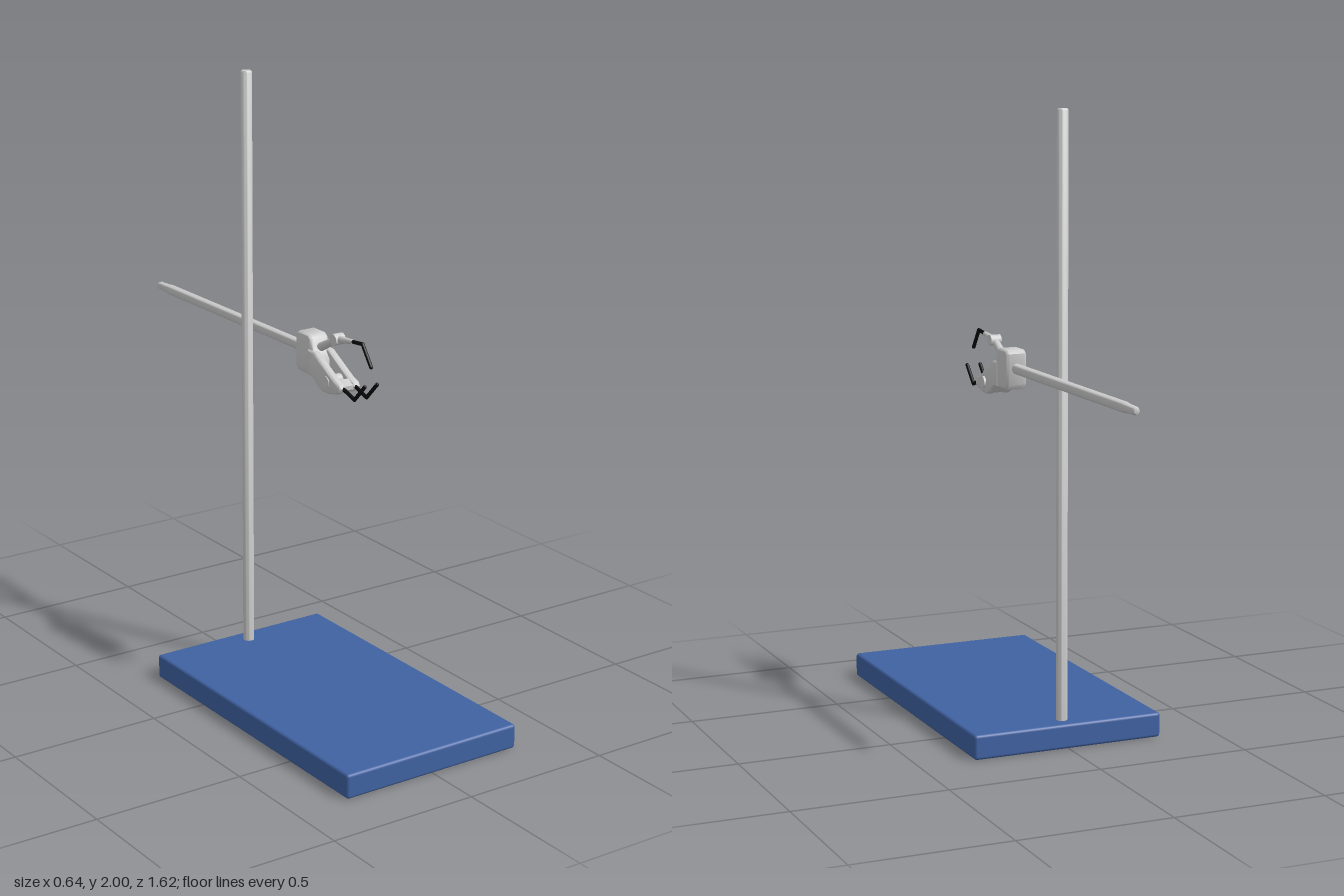
import * as THREE from 'three';
import { RoundedBoxGeometry } from 'three/addons/geometries/RoundedBoxGeometry.js';
import { toCreasedNormals } from 'three/addons/utils/BufferGeometryUtils.js';

const CLAMP_X = 0.035;
const V = (x, y, z) => new THREE.Vector3(x, y, z);

export function createModel() {
  const model = new THREE.Group();
  model.name = 'labStand';
  const grey = new THREE.MeshStandardMaterial({ color: 0xcccccc });
  const blue = new THREE.MeshStandardMaterial({ color: 0x4062a2 });
  const black = new THREE.MeshStandardMaterial({ color: 0x080808 });

  const add = (name, geometry, material = grey, parent = model) => {
    const mesh = new THREE.Mesh(geometry, material);
    mesh.name = name;
    parent.add(mesh);
    return mesh;
  };

  // Lathe of [radius, height] points
  const lathe = (points, segments = 32) => toCreasedNormals(
    new THREE.LatheGeometry(points.map(([r, y]) => new THREE.Vector2(r, y)), segments), 0.7);

  // Tapered round bar between two points
  const bar = (a, b, ra, rb = ra) => {
    const dir = b.clone().sub(a);
    const g = new THREE.CylinderGeometry(rb, ra, dir.length(), 16);
    g.applyQuaternion(new THREE.Quaternion().setFromUnitVectors(V(0, 1, 0), dir.normalize()));
    const mid = a.clone().add(b).multiplyScalar(0.5);
    return g.translate(mid.x, mid.y, mid.z);
  };

  // Side profile of [z, y] points, given a width along x and softened edges
  const slab = (points, x, width, bevel) => {
    const shape = new THREE.Shape(points.map(([z, y]) => new THREE.Vector2(z, y)));
    const g = new THREE.ExtrudeGeometry(shape, {
      depth: width - 2 * bevel, bevelThickness: bevel, bevelSize: bevel,
      bevelOffset: -bevel, bevelSegments: 4,
    });
    g.translate(0, 0, bevel - width / 2).rotateY(-Math.PI / 2).translate(x, 0, 0);
    return toCreasedNormals(g, 0.8);
  };

  // Base plate and upright
  add('basePlate', new RoundedBoxGeometry(0.64, 0.08, 1.08, 3, 0.01), blue)
    .position.set(0, 0.04, 0.272);
  add('upright', lathe([[0, 0], [0.018, 0], [0.018, 1.916], [0.015, 1.92], [0, 1.92]]))
    .position.set(0, 0.08, -0.21);

  // Clamp arm with a tapered, rounded tail
  const clamp = new THREE.Group();
  clamp.name = 'clamp';
  model.add(clamp);
  const arm = add('clampArm', lathe([[0, 0], [0.017, 0], [0.017, 0.8], [0.014, 0.83],
    [0.013, 0.868], [0.009, 0.878], [0, 0.882]]), grey, clamp);
  arm.rotation.x = -Math.PI / 2;
  arm.position.set(CLAMP_X, 1.164, 0.07);

  // Clamp body
  add('clampBody', slab([[0.062, 1.112], [0.075, 1.096], [0.15, 1.094], [0.18, 1.085],
    [0.18, 1.15], [0.162, 1.175], [0.152, 1.19], [0.145, 1.214], [0.132, 1.224],
    [0.075, 1.224], [0.062, 1.212]], CLAMP_X, 0.07, 0.01), grey, clamp);

  // Lower jaw: two cheeks with a recessed floor and a closed nose between them
  const jaw = [[0.135, 1.1], [0.165, 1.094], [0.19, 1.074], [0.215, 1.063], [0.25, 1.063],
    [0.29, 1.071], [0.308, 1.08], [0.313, 1.094], [0.305, 1.106], [0.28, 1.115],
    [0.245, 1.135], [0.205, 1.158], [0.17, 1.178], [0.135, 1.18]];
  for (const s of [-1, 1]) {
    add('jawCheek', slab(jaw, CLAMP_X + s * 0.027, 0.026, 0.007), grey, clamp);
  }
  add('jawFloor', slab([[0.14, 1.1], [0.165, 1.096], [0.19, 1.077], [0.215, 1.066],
    [0.25, 1.066], [0.29, 1.074], [0.307, 1.085], [0.308, 1.098], [0.28, 1.113],
    [0.262, 1.098], [0.2, 1.105], [0.17, 1.125], [0.14, 1.13]], CLAMP_X, 0.034, 0.002), grey, clamp);

  // Pivot screw through the lower jaw
  add('pivotScrew', bar(V(-0.008, 1.1, 0.238), V(0.082, 1.1, 0.238), 0.019), grey, clamp);

  // Upper finger with a knuckle
  const root = V(CLAMP_X, 1.175, 0.135);
  const knuckle = V(CLAMP_X, 1.233, 0.243);
  const tip = V(CLAMP_X, 1.244, 0.325);
  add('upperFinger', bar(root, knuckle, 0.015, 0.011), grey, clamp);
  add('fingerTip', bar(knuckle, tip, 0.013, 0.007), grey, clamp);
  add('knuckle', bar(V(CLAMP_X - 0.018, 1.233, 0.243), V(CLAMP_X + 0.018, 1.233, 0.243), 0.018),
    grey, clamp);

  // Bent black prongs: one above, two below
  const prong = (name, points) => {
    const group = new THREE.Group();
    group.name = name;
    clamp.add(group);
    points.forEach((p, i) => {
      if (i > 0) add('prongSegment', bar(points[i - 1], p, 0.006), black, group);
      add('prongJoint', new THREE.SphereGeometry(0.006, 12, 8), black, group).position.copy(p);
    });
  };
  prong('upperProng', [tip, V(CLAMP_X, 1.249, 0.375), V(CLAMP_X, 1.187, 0.42)]);
  for (const s of [-1, 1]) {
    const x = CLAMP_X + s * 0.023;
    prong('lowerProng', [V(x, 1.095, 0.3), V(x, 1.073, 0.367), V(x, 1.128, 0.42)]);
  }
  return model;
}
